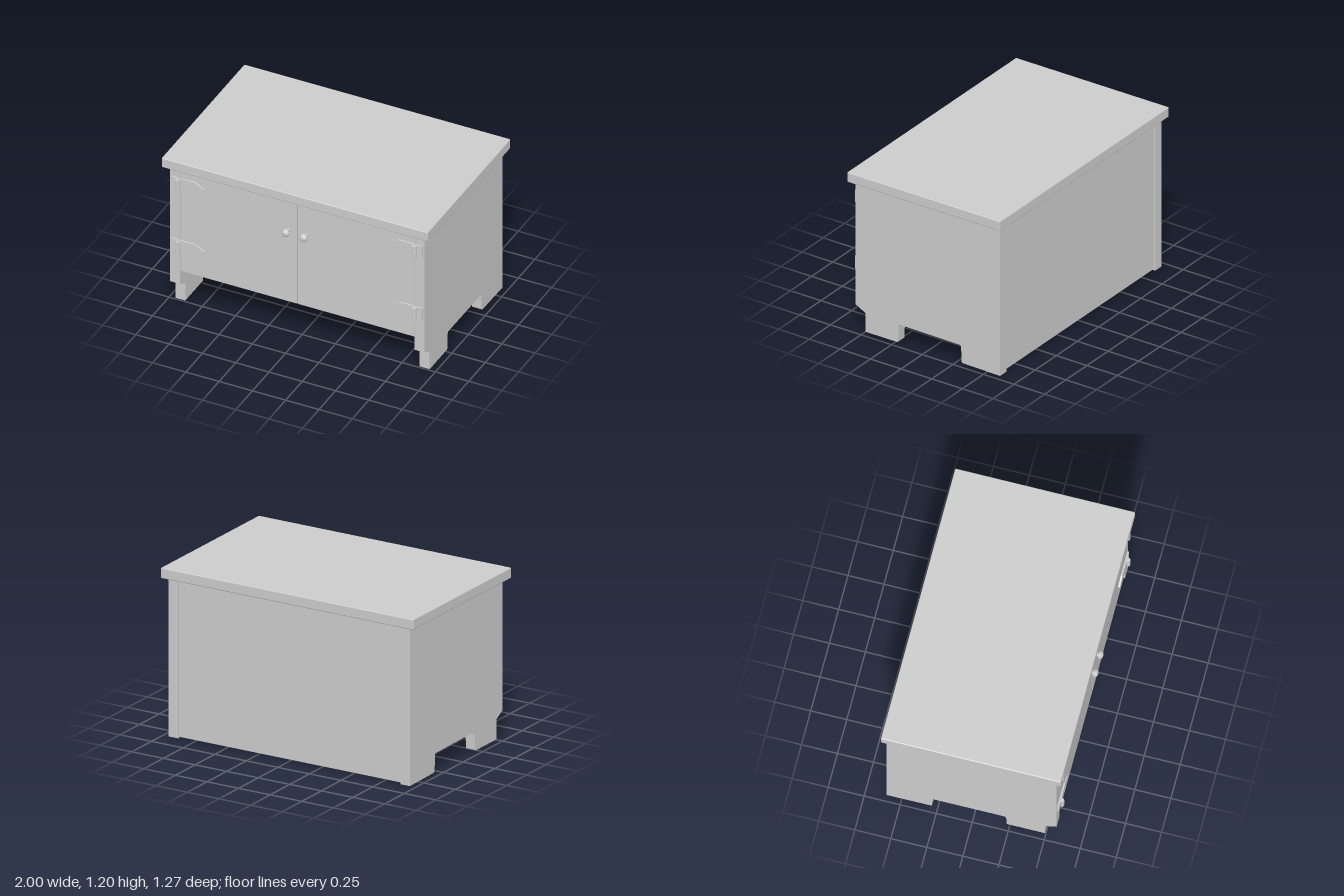
import * as THREE from 'three';
import { RoundedBoxGeometry } from 'three/addons/geometries/RoundedBoxGeometry.js';

const grey = new THREE.MeshStandardMaterial({ color: 0xcccccc });

function add(parent, name, geometry, x = 0, y = 0, z = 0) {
  const mesh = new THREE.Mesh(geometry, grey);
  mesh.name = name;
  mesh.position.set(x, y, z);
  parent.add(mesh);
  return mesh;
}

// Softly rounded board given by its lower and upper corners
function board(parent, name, [x0, y0, z0], [x1, y1, z1], radius = 0.004) {
  const geometry = new RoundedBoxGeometry(x1 - x0, y1 - y0, z1 - z0, 2, radius);
  return add(parent, name, geometry, (x0 + x1) / 2, (y0 + y1) / 2, (z0 + z1) / 2);
}

// Side outline with two feet; the outline's x runs towards the back
function sideGeometry() {
  const s = new THREE.Shape();
  s.moveTo(-0.575, 1.13);
  s.lineTo(-0.575, 0.19);
  s.lineTo(-0.495, 0.147);
  s.lineTo(-0.495, 0.005);
  s.lineTo(-0.235, 0.005);
  s.quadraticCurveTo(-0.228, 0.005, -0.228, 0.015);
  s.lineTo(-0.224, 0.12);
  s.quadraticCurveTo(-0.222, 0.142, -0.205, 0.142);
  s.lineTo(0.27, 0.138);
  s.quadraticCurveTo(0.286, 0.138, 0.287, 0.12);
  s.lineTo(0.29, 0.02);
  s.quadraticCurveTo(0.291, 0.005, 0.305, 0.005);
  s.lineTo(0.605, 0);
  s.lineTo(0.605, 1.13);
  const geometry = new THREE.ExtrudeGeometry(s, { depth: 0.075, bevelEnabled: false, curveSegments: 5 });
  return geometry.rotateY(Math.PI / 2);
}

// Hinge: side plate, two knuckles and a pointed strap lying on the door
function makeHinge(side, y) {
  const hinge = new THREE.Group();
  hinge.name = 'hinge';
  hinge.position.set(0, y, 0.575);
  add(hinge, 'hingePlate', new THREE.BoxGeometry(0.055, 0.095, 0.012), side * 0.9175, 0, 0.006);
  for (const dy of [-0.023, 0.023]) {
    add(hinge, 'hingeKnuckle', new THREE.CylinderGeometry(0.016, 0.016, 0.043, 16), side * 0.888, dy - 0.003, 0.019);
  }
  const points = [[0.885, -0.047], [0.885, 0.047], [0.765, 0.047], [0.695, 0.008], [0.695, -0.008], [0.765, -0.047]];
  const outline = new THREE.Shape(points.map(([px, py]) => new THREE.Vector2(side * px, py)));
  add(hinge, 'hingeStrap', new THREE.ExtrudeGeometry(outline, { depth: 0.012, bevelEnabled: false }));
  return hinge;
}

// Mushroom knob turned around the z axis
function knobGeometry() {
  const profile = [[0.017, 0], [0.017, 0.028], [0.026, 0.029], [0.03, 0.036], [0.029, 0.044], [0.022, 0.054], [0.011, 0.059], [0, 0.06]];
  const geometry = new THREE.LatheGeometry(profile.map(([r, h]) => new THREE.Vector2(r, h)), 24);
  return geometry.rotateX(Math.PI / 2);
}

export function createModel() {
  const cabinet = new THREE.Group();
  cabinet.name = 'cabinet';

  // Carcass
  board(cabinet, 'tabletop', [-1, 1.127, -0.635], [1, 1.203, 0.615], 0.008);
  board(cabinet, 'backPanel', [-0.885, 0.005, -0.59], [0.885, 1.13, -0.54]);
  board(cabinet, 'floorPanel', [-0.885, 0.3, -0.545], [0.885, 0.34, 0.535]);
  add(cabinet, 'rightSide', sideGeometry(), -0.955);
  add(cabinet, 'leftSide', sideGeometry(), 0.88);

  // Doors with their knobs and hinges
  for (const side of [-1, 1]) {
    const door = new THREE.Group();
    door.name = side > 0 ? 'leftDoor' : 'rightDoor';
    const edges = [side * 0.003, side * 0.878].sort((a, b) => a - b);
    board(door, 'doorPanel', [edges[0], 0.295, 0.53], [edges[1], 1.125, 0.575], 0.003);
    add(door, 'knob', knobGeometry(), side * 0.067, 0.875, 0.575);
    for (const y of [1.007, 0.503]) door.add(makeHinge(side, y));
    cabinet.add(door);
  }
  return cabinet;
}
